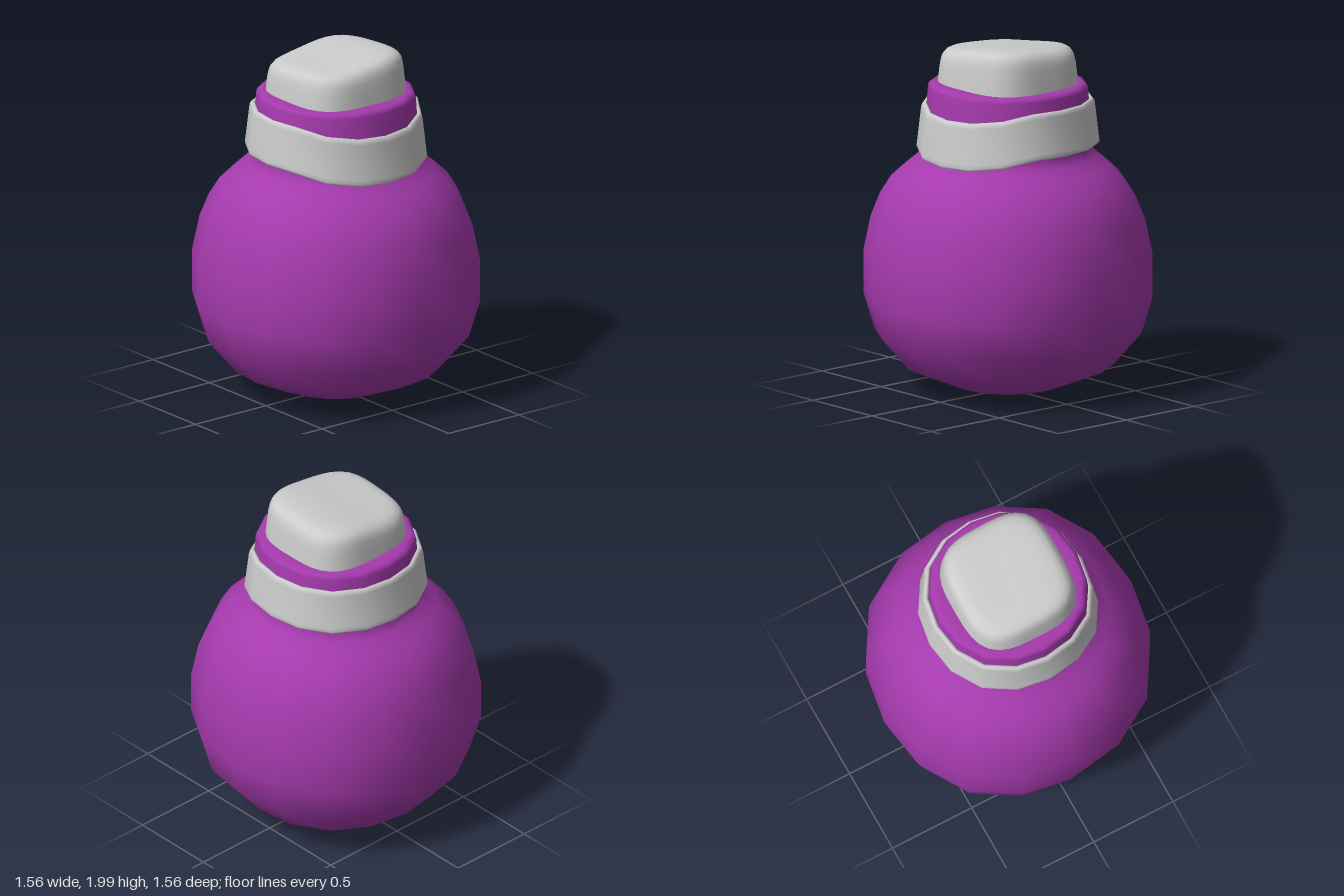
import * as THREE from 'three';
import { mergeVertices } from 'three/addons/utils/BufferGeometryUtils.js';

const grey = new THREE.MeshStandardMaterial({ color: 0xcccccc });
const purple = new THREE.MeshStandardMaterial({ color: 0xa53aad });

// Turn a profile, move its vertices by a rule, then smooth the normals
function turned(name, profile, sides, material, rule) {
  const raw = new THREE.LatheGeometry(profile.map(p => new THREE.Vector2(...p)), sides);
  raw.deleteAttribute('uv');
  raw.deleteAttribute('normal');
  const pos = raw.attributes.position;
  const v = new THREE.Vector3();
  for (let i = 0; i < pos.count; i++) {
    v.fromBufferAttribute(pos, i);
    rule(v);
    pos.setXYZ(i, v.x, v.y, v.z);
  }
  const geometry = mergeVertices(raw, 1e-4);
  geometry.computeVertexNormals();
  const mesh = new THREE.Mesh(geometry, material);
  mesh.name = name;
  return mesh;
}

// Slightly squared-off circle, fuller on the diagonals
function fullDiagonals(v) {
  const k = 1 + 0.032 * Math.sin(2 * Math.atan2(v.x, v.z)) ** 2;
  v.x *= k;
  v.z *= k;
}

export function createModel() {
  const model = new THREE.Group();
  model.name = 'flask';

  // Round body with neck and flat shoulder under the stopper
  model.add(turned('body', [
    [0, 0], [0.31, 0.04], [0.57, 0.15], [0.72, 0.33], [0.78, 0.54], [0.78, 0.78],
    [0.74, 0.98], [0.69, 1.11], [0.63, 1.21], [0.55, 1.285], [0.48, 1.345], [0.46, 1.39],
    [0.445, 1.55], [0.437, 1.65], [0.432, 1.725], [0.425, 1.745], [0.405, 1.753],
    [0.37, 1.753], [0, 1.753],
  ], 16, purple, fullDiagonals));

  // Collar that dips towards the front
  model.add(turned('collar', [
    [0.44, 1.41], [0.475, 1.408], [0.488, 1.412], [0.494, 1.425], [0.491, 1.445],
    [0.469, 1.64], [0.465, 1.657], [0.456, 1.667], [0.446, 1.667], [0.439, 1.66],
    [0.436, 1.64], [0.432, 1.45], [0.44, 1.41],
  ], 16, grey, v => {
    fullDiagonals(v);
    v.y -= 0.075 * Math.max(0, (v.z - 0.18) / 0.3);
  }));

  // Rounded-square stopper with an uneven, wavy top
  model.add(turned('stopper', [
    [0.35, 1.72], [0.347, 1.76], [0.34, 1.83], [0.334, 1.88], [0.326, 1.915], [0.31, 1.94],
    [0.285, 1.955], [0.25, 1.963], [0.18, 1.967], [0.09, 1.967], [0, 1.967],
  ], 40, grey, v => {
    const r = Math.hypot(v.x, v.z);
    if (r > 0) {
      const c = Math.abs(v.x / r), s = Math.abs(v.z / r);
      const k = (c ** 3.3 + s ** 3.3) ** (-1 / 3.3);
      v.x *= k;
      v.z *= k * 0.965;
    }
    const lift = THREE.MathUtils.smoothstep(v.y, 1.78, 1.94);
    const wave = 0.022 * Math.sin(v.x * 7) + 0.012 * Math.sin(v.z * 6) - 0.004;
    v.y += lift * wave;
  }));

  return model;
}
